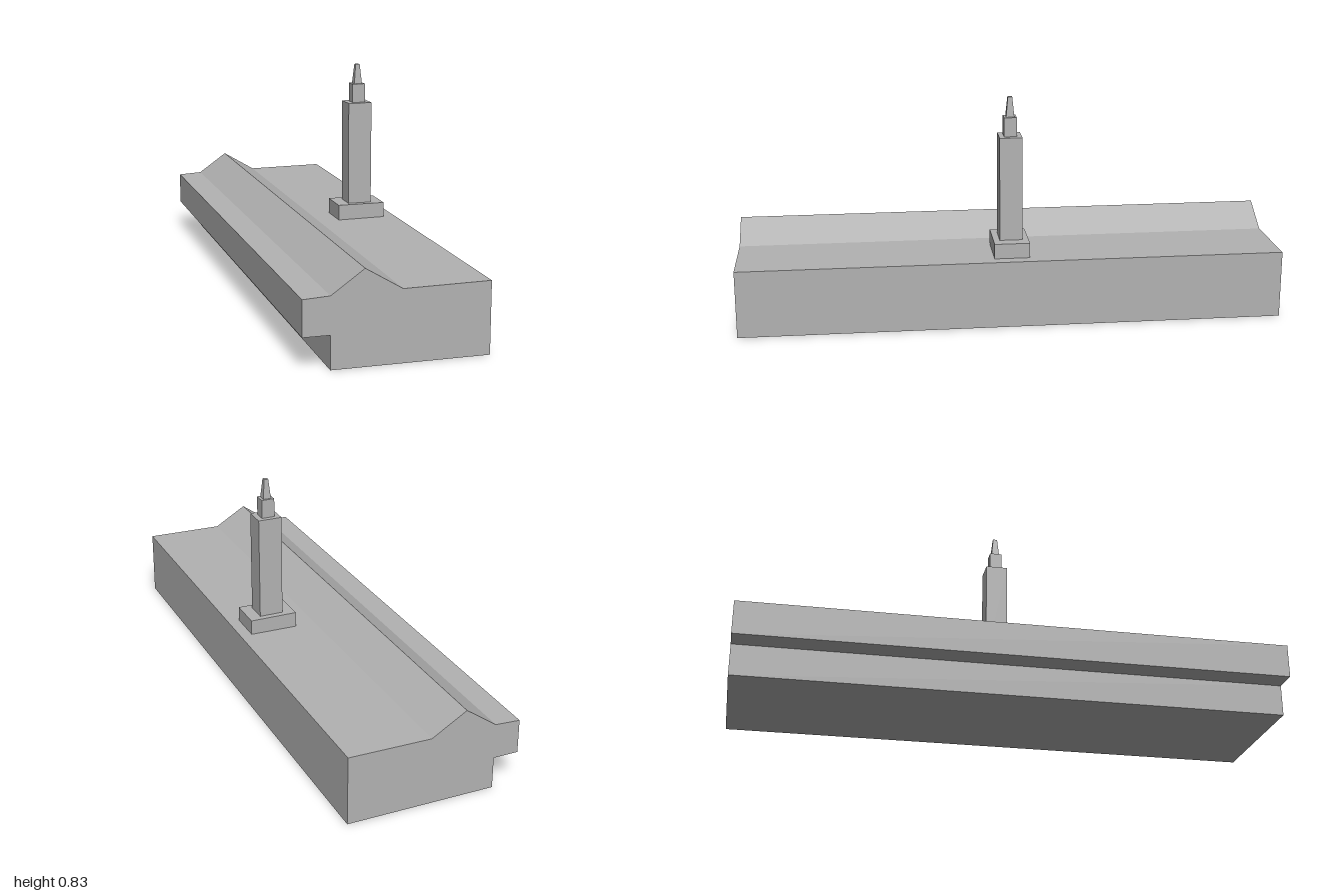
import * as THREE from 'three';

export function createModel() {
  const model = new THREE.Group();
  const stone = new THREE.MeshStandardMaterial({ color: 0xb2b2b2 });
  stone.name = 'grey stone';

  const add = (parent, name, geometry, x = 0, y = 0, z = 0) => {
    const mesh = new THREE.Mesh(geometry, stone);
    mesh.name = name;
    mesh.position.set(x, y, z);
    parent.add(mesh);
    return mesh;
  };

  // Long hall: one cross-section with side overhang, sloped decks and ridge roof
  const section = new THREE.Shape([
    [-0.225, 0], [0.316, 0], [0.316, 0.25], [0.015, 0.247], [-0.112, 0.323],
    [-0.225, 0.243], [-0.317, 0.238], [-0.317, 0.115], [-0.225, 0.115],
  ].map(([x, y]) => new THREE.Vector2(x, y)));
  add(model, 'hall', new THREE.ExtrudeGeometry(section, { depth: 2, bevelEnabled: false }), 0, 0, -1);

  // Stepped tower: width, depth, bottom, top
  const tower = new THREE.Group();
  tower.name = 'tower';
  tower.position.x = 0.182;
  model.add(tower);
  [
    ['towerBase', 0.18, 0.13, 0.24, 0.305],
    ['towerShaft', 0.09, 0.083, 0.305, 0.69],
    ['towerCap', 0.049, 0.046, 0.69, 0.76],
  ].forEach(([name, w, d, y0, y1]) =>
    add(tower, name, new THREE.BoxGeometry(w, y1 - y0, d), 0, (y0 + y1) / 2));

  // Tapered square spire
  const spire = new THREE.CylinderGeometry(0.008 * Math.SQRT2, 0.015 * Math.SQRT2, 0.073, 4)
    .rotateY(Math.PI / 4).toNonIndexed();
  spire.computeVertexNormals();
  add(tower, 'spire', spire, 0, 0.7965);

  return model;
}
